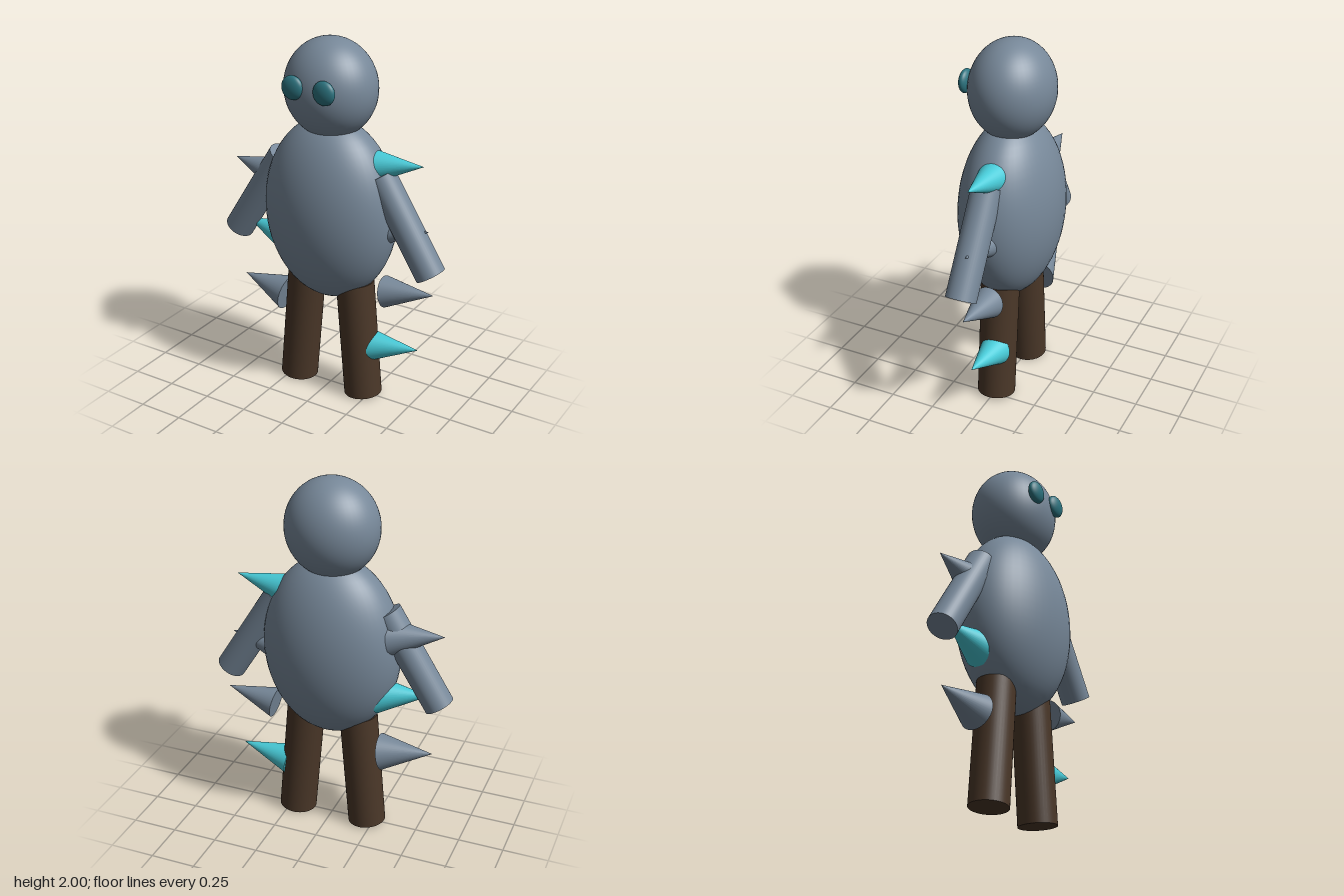
import * as THREE from 'three';

const paint = (color) => new THREE.MeshStandardMaterial({ color });
const UP = new THREE.Vector3(0, 1, 0);

export function createModel() {
  const model = new THREE.Group();
  const skin = paint(0x778899);
  const crystal = paint(0x48cbd8);
  const eyeColor = paint(0x2c7480);
  const bark = paint(0x4a3728);

  const add = (name, geometry, material) => {
    const mesh = new THREE.Mesh(geometry, material);
    mesh.name = name;
    model.add(mesh);
    return mesh;
  };

  const ellipsoid = (name, center, radii, material) => {
    const mesh = add(name, new THREE.SphereGeometry(1, 48, 32), material);
    mesh.position.set(...center);
    mesh.scale.set(...radii);
    return mesh;
  };

  // Cylinder or cone running between two points
  const rod = (name, from, to, rFrom, rTo, material) => {
    const a = new THREE.Vector3(...from);
    const b = new THREE.Vector3(...to);
    const axis = b.clone().sub(a);
    const mesh = add(name, new THREE.CylinderGeometry(rTo, rFrom, axis.length(), 40), material);
    mesh.position.copy(a).add(b).multiplyScalar(0.5);
    mesh.quaternion.setFromUnitVectors(UP, axis.normalize());
    return mesh;
  };

  // Trunk and head
  ellipsoid('body', [0, 1.073, 0], [0.38, 0.508, 0.264], skin);
  ellipsoid('head', [0, 1.737, 0], [0.251, 0.263, 0.224], skin);

  // Paired eyes, arms and legs
  for (const [side, s] of [['left', 1], ['right', -1]]) {
    ellipsoid(side + 'Eye', [s * 0.092, 1.775, 0.216], [0.062, 0.063, 0.03], eyeColor);
    rod(side + 'Arm', [s * 0.602, 0.827, 0], [s * 0.297, 1.314, 0], 0.081, 0.081, skin);
    rod(side + 'Leg', [s * 0.21, 0.01, 0], [s * 0.152, 0.68, 0], 0.104, 0.104, bark);
  }

  // Spikes down each flank, alternating in colour: [side, tip x, tip y, base radius]
  const spikes = [
    [1, 0.535, 1.405, 0.086],
    [-1, 0.62, 1.235, 0.1],
    [1, 0.575, 1.057, 0.086],
    [-1, 0.55, 0.88, 0.1],
    [1, 0.615, 0.705, 0.086],
    [-1, 0.58, 0.53, 0.1],
    [1, 0.535, 0.355, 0.086],
  ];
  spikes.forEach(([s, x, y, r], i) => {
    const material = i % 3 === 0 ? crystal : skin;
    rod('spike' + (i + 1), [s * (x - 0.284), y - 0.05, -0.015], [s * x, y, -0.015], r, 0, material);
  });

  return model;
}
